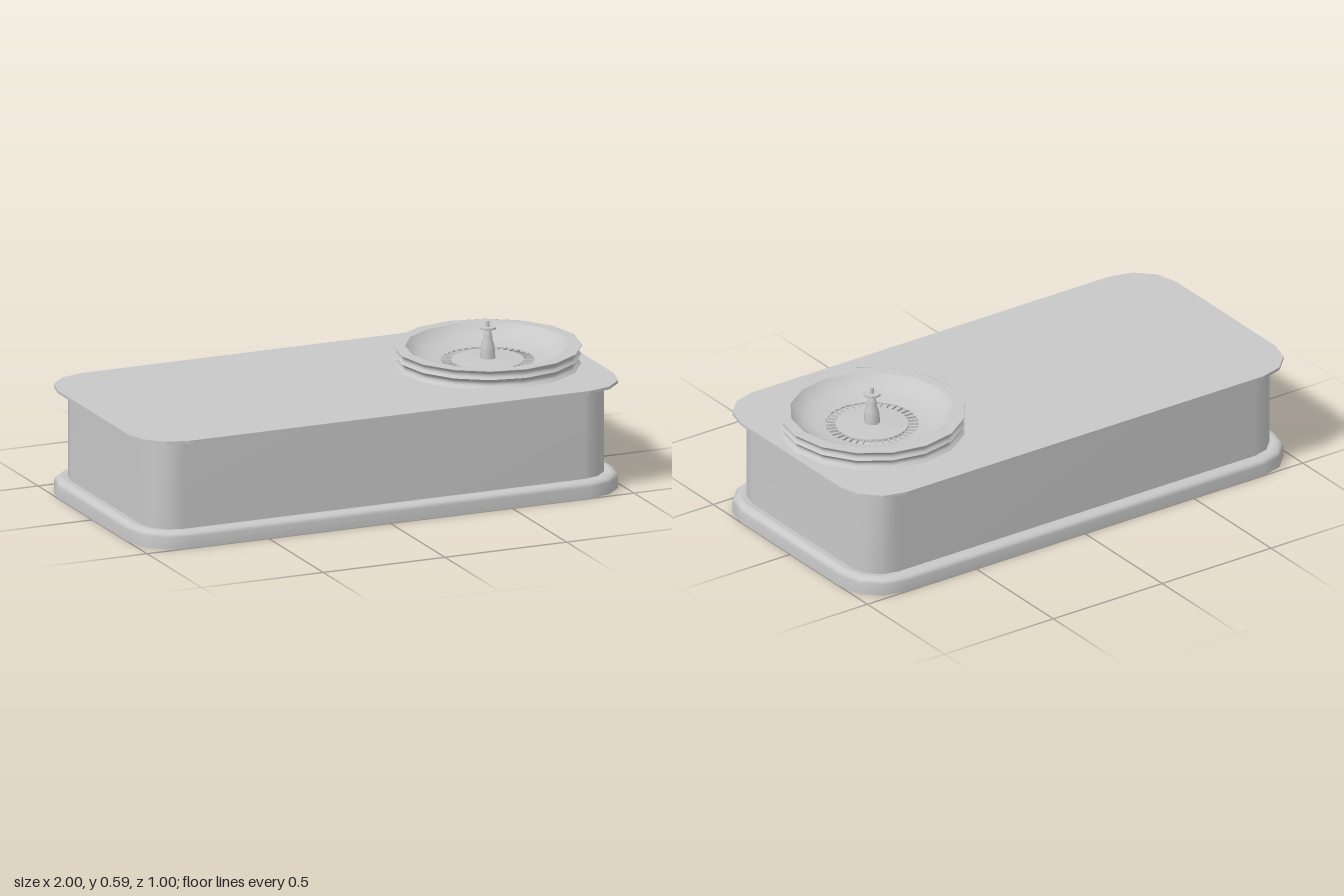
import * as THREE from 'three';

const grey = new THREE.MeshStandardMaterial({ color: 0xc8c8c8, side: THREE.DoubleSide });
grey.name = 'plain grey';

function add(parent, name, geometry, x = 0, y = 0, z = 0) {
  const mesh = new THREE.Mesh(geometry, grey);
  mesh.name = name;
  mesh.position.set(x, y, z);
  parent.add(mesh);
  return mesh;
}

// Table outline with rounded corners, moved inward by inset
function outline(inset) {
  const r = 0.18 - inset, points = [];
  [[1, 1], [-1, 1], [-1, -1], [1, -1]].forEach(([sx, sy], corner) => {
    for (let i = 0; i <= 3; i++) {
      const a = (corner + i / 3) * Math.PI / 2;
      points.push(new THREE.Vector2(sx * 0.82 + r * Math.cos(a), sy * 0.32 + r * Math.sin(a)));
    }
  });
  return points;
}

// Open band following the outline through [inset, height] steps
function band(profile) {
  const positions = [], index = [], n = 16;
  profile.forEach(([inset, y], j) => {
    outline(inset).forEach((p, i) => {
      positions.push(p.x, y, -p.y);
      if (j === 0) return;
      const next = (i + 1) % n, low = (j - 1) * n, high = j * n;
      index.push(low + i, low + next, high + next, low + i, high + next, high + i);
    });
  });
  const geometry = new THREE.BufferGeometry();
  geometry.setAttribute('position', new THREE.Float32BufferAttribute(positions, 3));
  geometry.setIndex(index);
  geometry.computeVertexNormals();
  return geometry;
}

function lathe(profile, sides) {
  return new THREE.LatheGeometry(profile.map(([r, y]) => new THREE.Vector2(r, y)), sides);
}

export function createModel() {
  const model = new THREE.Group();
  model.name = 'rouletteTable';

  // Hollow plinth, body and table top
  add(model, 'plinth', band([[0, 0], [0, 0.045], [0.006, 0.056], [0.018, 0.063], [0.03, 0.065]]));
  add(model, 'plinthLedge', band([[0.03, 0.065], [0.054, 0.062]]));
  add(model, 'body', band([[0.054, 0.062], [0.054, 0.41]]));
  const slab = new THREE.ExtrudeGeometry(new THREE.Shape(outline(0)), { depth: 0.011, bevelEnabled: false });
  slab.rotateX(-Math.PI / 2);
  add(model, 'tableTop', slab, 0, 0.409, 0);

  // Wheel housing: two scooped mouldings, flat rim and bowl
  const wheel = new THREE.Group();
  wheel.name = 'wheel';
  wheel.position.set(0.62, 0, 0.007);
  model.add(wheel);
  add(wheel, 'lowerMoulding', lathe([[0.352, 0.42], [0.341, 0.43], [0.337, 0.438], [0.341, 0.447], [0.352, 0.457]], 16));
  add(wheel, 'upperMoulding', lathe([[0.352, 0.457], [0.344, 0.465], [0.341, 0.473], [0.345, 0.482], [0.354, 0.49]], 16));
  add(wheel, 'rim', lathe([[0.354, 0.49], [0.354, 0.493], [0.352, 0.493]], 16));
  add(wheel, 'rimTop', lathe([[0.354, 0.493], [0.31, 0.493]], 16));
  add(wheel, 'bowl', lathe([[0.31, 0.493], [0.29, 0.47], [0.26, 0.453], [0.22, 0.441], [0.177, 0.436]], 16));

  // Pocket ring and raised centre
  add(wheel, 'pocketOuterWall', lathe([[0.177, 0.436], [0.177, 0.428]], 38));
  add(wheel, 'pocketFloor', lathe([[0.177, 0.428], [0.137, 0.428]], 38));
  add(wheel, 'pocketInnerWall', lathe([[0.137, 0.428], [0.137, 0.438]], 38));
  add(wheel, 'centreDisc', lathe([[0.137, 0.438], [0.028, 0.444]], 38));
  const divider = new THREE.BoxGeometry(0.04, 0.009, 0.004);
  for (let i = 0; i < 38; i++) {
    const a = (i + 0.5) / 38 * Math.PI * 2;
    add(wheel, 'pocketDivider', divider, 0.157 * Math.cos(a), 0.4325, -0.157 * Math.sin(a)).rotation.y = a;
  }

  // Spindle with its turning knob
  add(wheel, 'spindle', lathe([[0.031, 0.443], [0.029, 0.475], [0.026, 0.495], [0.02, 0.51],
    [0.019, 0.525], [0.014, 0.543], [0.01, 0.552], [0.009, 0.558]], 8));
  add(wheel, 'knobDisc', new THREE.CylinderGeometry(0.033, 0.033, 0.008, 8), 0, 0.561, 0);
  add(wheel, 'knobPost', new THREE.CylinderGeometry(0.008, 0.008, 0.024, 8), 0, 0.576, 0);

  return model;
}
